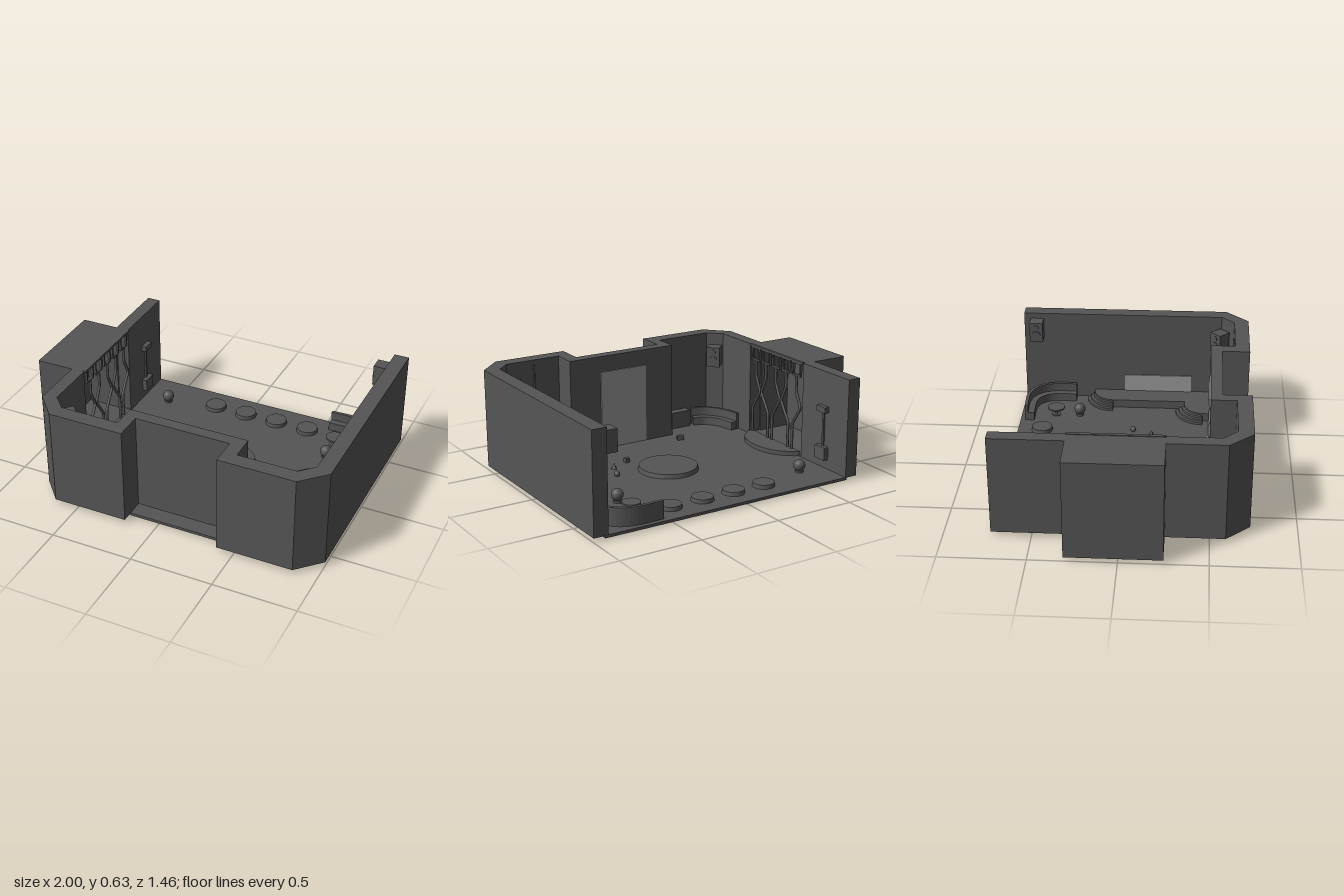
import * as THREE from 'three';

export function createModel() {
  const room = new THREE.Group();
  room.name = 'room';
  const dark = new THREE.MeshStandardMaterial({ color: 0x555555, flatShading: true });
  const smooth = new THREE.MeshStandardMaterial({ color: 0x555555 });
  const light = new THREE.MeshStandardMaterial({ color: 0x9a9a9a });

  const add = (name, geo, mat = dark, x = 0, y = 0, z = 0, ry = 0) => {
    const m = new THREE.Mesh(geo, mat);
    m.name = name;
    m.position.set(x, y, z);
    m.rotation.y = ry;
    room.add(m);
    return m;
  };
  // box given by its lower and upper corners
  const box = (name, x0, x1, y0, y1, z0, z1, mat = dark) =>
    add(name, new THREE.BoxGeometry(x1 - x0, y1 - y0, z1 - z0), mat, (x0 + x1) / 2, (y0 + y1) / 2, (z0 + z1) / 2);
  const disc = (name, x, z, r, y0, y1, r2 = r) =>
    add(name, new THREE.CylinderGeometry(r2, r, y1 - y0, 40), smooth, x, (y0 + y1) / 2, z);
  // plan outline in (x, z), raised from y0 to y1
  const slab = (name, plan, y0, y1) => {
    const shape = plan instanceof THREE.Shape ? plan : new THREE.Shape(plan.map(p => new THREE.Vector2(...p)));
    const g = new THREE.ExtrudeGeometry(shape, { depth: y1 - y0, bevelEnabled: false, curveSegments: 12 });
    g.rotateX(Math.PI / 2);
    return add(name, g, dark, 0, y1, 0);
  };
  // strip of constant width along a smooth plan path
  const strip = (name, path, w, y0, y1) => {
    const curve = new THREE.CatmullRomCurve3(path.map(p => new THREE.Vector3(p[0], 0, p[1])), false, 'centripetal');
    const a = [], b = [];
    for (let i = 0; i <= 24; i++) {
      const p = curve.getPointAt(i / 24), t = curve.getTangentAt(i / 24);
      a.push([p.x - t.z * w / 2, p.z + t.x * w / 2]);
      b.unshift([p.x + t.z * w / 2, p.z - t.x * w / 2]);
    }
    return slab(name, [...a, ...b], y0, y1);
  };
  const tube = (name, pts, r) => add(name, new THREE.TubeGeometry(
    new THREE.CatmullRomCurve3(pts.map(p => new THREE.Vector3(...p)), false, 'catmullrom', 0.1), 32, r, 8), smooth);

  // floor
  slab('floor', [[-0.7, -0.73], [-0.7, 0.57], [-0.62, 0.65], [-0.2, 0.65], [-0.18, 0.66], [0.4, 0.66],
    [0.42, 0.65], [0.85, 0.65], [0.93, 0.57], [0.93, -0.73]], 0.015, 0.032);

  // walls: front with recess and cut corners, both sides
  slab('walls', [[-0.77, 0.25], [-0.77, 0.59], [-0.64, 0.73], [-0.18, 0.73], [-0.18, 0.56], [0.4, 0.56], [0.4, 0.73],
    [0.86, 0.73], [1, 0.59], [1, -0.73], [0.91, -0.73], [0.91, 0.56], [0.83, 0.64], [0.48, 0.64], [0.48, 0.49],
    [-0.25, 0.49], [-0.25, 0.64], [-0.61, 0.64], [-0.69, 0.56], [-0.69, 0.25]], 0.03, 0.63);
  box('leftWallRear', -0.77, -0.69, 0.03, 0.63, -0.73, -0.3);

  // alcove built out from the left wall
  box('alcoveBack', -1, -0.985, 0.03, 0.628, -0.3, 0.25);
  box('alcoveFloor', -0.985, -0.69, 0.03, 0.04, -0.3, 0.25);
  box('alcoveSideRear', -0.985, -0.77, 0.03, 0.628, -0.3, -0.29);
  box('alcoveSideFront', -0.985, -0.77, 0.03, 0.628, 0.24, 0.25);
  const roof = new THREE.PlaneGeometry(0.31, 0.55);
  roof.rotateX(-Math.PI / 2);
  add('alcoveRoof', roof, dark, -0.845, 0.63, -0.025);

  // half-round step before the alcove
  const step = new THREE.Shape();
  step.moveTo(-0.7, -0.28);
  step.quadraticCurveTo(-0.54, -0.2, -0.54, -0.02);
  step.quadraticCurveTo(-0.54, 0.18, -0.7, 0.24);
  slab('alcoveStep', step, 0.03, 0.06);

  // row of small frames and bent pipes across the alcove mouth
  for (let i = 0; i < 5; i++) {
    const z = -0.235 + i * 0.105, s = i % 2 ? 1 : -1;
    for (const d of [-0.035, 0.035]) box('frameSide', -0.7, -0.685, 0.54, 0.62, z + d - 0.006, z + d + 0.006);
    for (const y of [0.54, 0.62]) box('frameBar', -0.7, -0.685, y - 0.006, y + 0.006, z - 0.04, z + 0.04);
    tube('bentPipe', [[-0.69, 0.54, z], [-0.69, 0.44, z], [-0.69, 0.34, z + s * 0.045],
      [-0.69, 0.22, z - s * 0.03], [-0.69, 0.04, z - s * 0.03]], 0.009);
  }
  box('frameRail', -0.7, -0.68, 0.62, 0.634, -0.3, 0.25);

  // lamp and socket on the left wall
  box('wallSocket', -0.695, -0.66, 0.09, 0.17, -0.56, -0.47);
  box('lampStem', -0.695, -0.68, 0.17, 0.39, -0.522, -0.508);
  box('lampHead', -0.695, -0.66, 0.385, 0.42, -0.555, -0.475);

  // door panel in the front wall, low panel on the right wall
  box('doorPanel', -0.05, 0.27, 0.035, 0.53, 0.482, 0.492, light);
  box('lowPanel', 0.903, 0.912, 0.06, 0.2, -0.07, 0.37, light);

  // raised platform along the right wall, with fan-shaped steps
  const plat = new THREE.Shape();
  plat.moveTo(0.91, -0.27);
  plat.lineTo(0.88, -0.27);
  plat.quadraticCurveTo(0.77, -0.25, 0.76, -0.14);
  plat.lineTo(0.76, 0.33);
  plat.lineTo(0.72, 0.33);
  plat.quadraticCurveTo(0.61, 0.35, 0.6, 0.45);
  for (const [x, z] of [[0.6, 0.49], [0.48, 0.49], [0.48, 0.64], [0.83, 0.64], [0.91, 0.56]]) plat.lineTo(x, z);
  slab('platform', plat, 0.03, 0.085);
  for (const [cx, cz] of [[0.88, -0.14], [0.72, 0.45]]) {
    for (let i = 0; i < 3; i++) {
      const r = 0.125 + i * 0.02, path = [];
      for (let k = 0; k <= 6; k++) {
        const t = Math.PI + k * Math.PI / 12;
        path.push([cx + r * Math.cos(t), cz + r * Math.sin(t)]);
      }
      strip('platformStep', path, 0.022, 0.03, 0.075 - i * 0.014);
    }
  }

  // hoop and pole at the front right
  add('hoop', new THREE.TorusGeometry(0.14, 0.01, 8, 48), smooth, 0.65, 0.155, 0.635);
  add('hoopPole', new THREE.CylinderGeometry(0.006, 0.006, 0.3, 8), smooth, 0.65, 0.45, 0.635);

  // speakers high in three corners
  for (const [x, z, a, y] of [[0.865, -0.645, 0, 0.53], [0.84, 0.55, Math.PI / 4, 0.49], [-0.62, 0.56, -Math.PI / 4, 0.49]]) {
    add('speaker', new THREE.BoxGeometry(0.085, 0.13, 0.085), dark, x, y, z, a);
    const face = a === 0 ? [-1, 0] : [-Math.sign(x) * Math.SQRT1_2, -Math.SQRT1_2];
    for (const [dy, r] of [[-0.02, 0.028], [0.035, 0.016]]) {
      const cone = new THREE.CylinderGeometry(r, r, 0.012, 20);
      cone.rotateX(Math.PI / 2);
      add('speakerCone', cone, smooth, x + face[0] * 0.043, y + dy, z + face[1] * 0.043, Math.atan2(face[0], face[1]));
    }
  }

  // curved benches: seat and backrest
  const rear = o => [[0.55, -0.67 - o], [0.72, -0.67 - o], [0.79 + o * 0.7, -0.645 - o * 0.7],
    [0.84 + o * 0.7, -0.59 - o * 0.7], [0.86 + o, -0.52], [0.86 + o, -0.39]];
  strip('rearBench', rear(-0.008), 0.045, 0.03, 0.085);
  strip('rearBenchBack', rear(0.02), 0.02, 0.03, 0.14);
  const front = o => [[-0.655 - o, 0.36], [-0.635 - o, 0.47], [-0.605 - o * 0.7, 0.53 + o * 0.7],
    [-0.56 - o * 0.4, 0.58 + o * 0.8], [-0.48, 0.61 + o]];
  strip('frontBench', front(-0.01), 0.045, 0.03, 0.085);
  strip('frontBenchBack', front(0.018), 0.018, 0.03, 0.14);
  box('cabinet', -0.45, -0.31, 0.03, 0.14, 0.585, 0.645);

  // round dais and four low pads
  disc('dais', 0.11, -0.04, 0.183, 0.03, 0.058, 0.176);
  for (let i = 0; i < 4; i++) disc('roundPad', -0.207 + i * 0.212, -0.575, 0.068, 0.03, 0.056, 0.064);

  // small table, globe and ball
  disc('tableTop', 0.64, -0.505, 0.055, 0.078, 0.088);
  disc('tableStem', 0.64, -0.505, 0.01, 0.03, 0.08);
  disc('tableBase', 0.64, -0.505, 0.03, 0.03, 0.038);
  const ball = (name, x, y, z, r) => add(name, new THREE.SphereGeometry(r, 24, 16), smooth, x, y, z);
  ball('globe', 0.64, 0.078, -0.35, 0.036);
  disc('globeBase', 0.64, -0.35, 0.025, 0.03, 0.045);
  ball('largeBall', -0.52, 0.075, -0.505, 0.036);
  disc('largeBallBase', -0.52, -0.505, 0.025, 0.03, 0.045);

  // small shapes lying on the floor
  ball('smallBall', 0.435, 0.048, 0.01, 0.018);
  add('smallCone', new THREE.ConeGeometry(0.022, 0.04, 3), dark, 0.385, 0.051, 0.13, Math.PI);
  add('smallCube', new THREE.BoxGeometry(0.028, 0.028, 0.028), dark, 0.262, 0.046, 0.195);
  add('smallBlock', new THREE.BoxGeometry(0.042, 0.028, 0.028), dark, -0.24, 0.046, 0.38, -0.25);

  return room;
}
